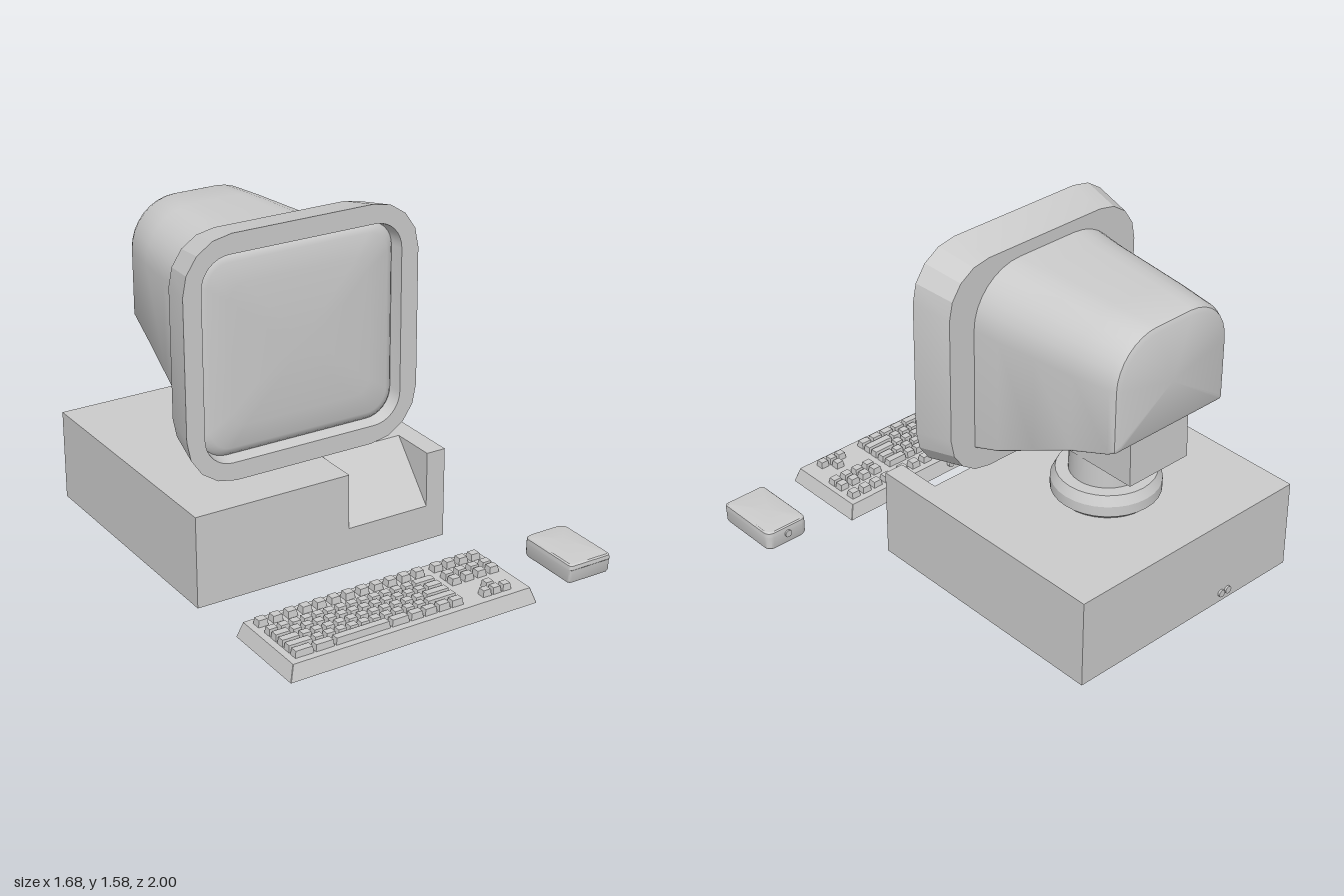
import * as THREE from 'three';
import { toCreasedNormals } from 'three/addons/utils/BufferGeometryUtils.js';

const grey = new THREE.MeshStandardMaterial({ color: 0xcccccc });
const greyBoth = new THREE.MeshStandardMaterial({ color: 0xcccccc, side: THREE.DoubleSide });

function add(parent, name, geometry, x = 0, y = 0, z = 0, material = grey) {
  const mesh = new THREE.Mesh(geometry, material);
  mesh.name = name;
  mesh.position.set(x, y, z);
  parent.add(mesh);
  return mesh;
}

// Rounded rectangle loop, counter-clockwise seen from +z
function ring(x0, x1, y0, y1, z, rTop, rBottom = rTop, seg = 4) {
  const points = [];
  const corners = [
    [x1 - rTop, y1 - rTop, rTop], [x0 + rTop, y1 - rTop, rTop],
    [x0 + rBottom, y0 + rBottom, rBottom], [x1 - rBottom, y0 + rBottom, rBottom],
  ];
  corners.forEach(([cx, cy, r], c) => {
    for (let i = 0; i <= seg; i++) {
      const a = (c + i / seg) * Math.PI / 2;
      points.push(new THREE.Vector3(cx + r * Math.cos(a), cy + r * Math.sin(a), z));
    }
  });
  return points;
}

// Skin over a row of equal-length loops, with optional end caps
function loft(rings, capStart, capEnd, crease) {
  const n = rings[0].length, points = rings.flat(), index = [];
  for (let k = 0; k < rings.length - 1; k++) {
    for (let j = 0; j < n; j++) {
      const a = k * n + j, b = k * n + (j + 1) % n;
      index.push(a, b, b + n, a, b + n, a + n);
    }
  }
  const cap = (k, flip) => {
    const centre = new THREE.Vector3();
    rings[k].forEach((p) => centre.addScaledVector(p, 1 / n));
    const c = points.push(centre) - 1;
    for (let j = 0; j < n; j++) {
      const a = k * n + j, b = k * n + (j + 1) % n;
      index.push(c, flip ? b : a, flip ? a : b);
    }
  };
  if (capStart) cap(0, true);
  if (capEnd) cap(rings.length - 1, false);
  const geometry = new THREE.BufferGeometry().setFromPoints(points);
  geometry.setIndex(index);
  return toCreasedNormals(geometry, crease);
}

// Side profile of [z, y] points, extruded from x0 to x1
function slab(x0, x1, profile) {
  const shape = new THREE.Shape(profile.map(([z, y]) => new THREE.Vector2(-z, y)));
  return new THREE.ExtrudeGeometry(shape, { depth: x1 - x0, bevelEnabled: false })
    .rotateY(Math.PI / 2).translate(x0, 0, 0);
}

function plug(parent, name, x, y, z, r, length) {
  add(parent, name, new THREE.CylinderGeometry(r, r, length, 12).rotateX(Math.PI / 2), x, y, z);
}

function makeCase() {
  const group = new THREE.Group();
  group.name = 'computerCase';
  const back = -0.99, front = 0.275, top = 0.43;
  const block = [[back, 0], [front, 0], [front, top], [back, top]];
  const notched = [[back, 0], [front, 0], [front, 0.17], [0.05, top], [back, top]];
  add(group, 'caseRightBlock', slab(-0.84, -0.08, block));
  add(group, 'caseSlopedNotch', slab(-0.08, 0.33, notched));
  add(group, 'caseLeftBlock', slab(0.33, 0.425, block));
  for (const x of [-0.463, -0.422]) plug(group, 'casePort', x, 0.045, -0.99, 0.018, 0.02);
  return group;
}

function makeMonitor() {
  const group = new THREE.Group();
  group.name = 'monitor';
  const cx = -0.208;

  // Swivel foot, post and block under the housing
  const foot = [[0, 0.43], [0.22, 0.43], [0.247, 0.455], [0.247, 0.505], [0.225, 0.55], [0.168, 0.55]]
    .map(([r, y]) => new THREE.Vector2(r, y));
  add(group, 'swivelFoot', toCreasedNormals(new THREE.LatheGeometry(foot, 32), 0.4), -0.215, 0, -0.468);
  add(group, 'swivelPost', new THREE.CylinderGeometry(0.168, 0.168, 0.16, 32), -0.215, 0.62, -0.468);
  add(group, 'neckBlock', slab(-0.39, -0.045, [[-0.775, 0.68], [-0.21, 0.68], [-0.45, 0.84], [-0.765, 0.97]]));

  // Tapered rear housing: z, half width, bottom, top, top corner radius
  const sections = [
    [-0.825, 0.295, 0.95, 1.425, 0.2], [-0.815, 0.318, 0.93, 1.447, 0.22], [-0.785, 0.333, 0.917, 1.458, 0.23],
    [-0.6, 0.36, 0.855, 1.466, 0.24], [-0.4, 0.382, 0.765, 1.473, 0.25],
    [-0.2, 0.402, 0.67, 1.481, 0.26], [-0.06, 0.42, 0.628, 1.487, 0.26],
  ];
  add(group, 'rearHousing', loft(sections.map(([z, w, y0, y1, r]) =>
    ring(-0.22 - w, -0.22 + w, y0, y1, z, r, 0.012, 8)), true, false, 0.6));

  // Bezel: flared rim, then a front face with a rounded opening
  const outer = ring(-0.787, 0.371, 0.465, 1.58, 0.12, 0.235);
  add(group, 'bezelRim', loft([ring(-0.75, 0.334, 0.505, 1.545, -0.07, 0.22), outer], true, false, 0.3));
  const opening = (inset, z, r) =>
    ring(-0.7 + inset, 0.285 - inset, 0.55 + inset, 1.49 - inset, z, r, r, 8);
  const face = new THREE.Shape(outer.map((p) => new THREE.Vector2(p.x, p.y)));
  face.holes.push(new THREE.Path(opening(0, 0.12, 0.135).map((p) => new THREE.Vector2(p.x, p.y))));
  add(group, 'bezelFace', new THREE.ShapeGeometry(face), 0, 0, 0.12);

  // Recess wall and bulging screen
  add(group, 'bezelRecess', loft([opening(0, 0.12, 0.135), opening(0.012, 0.055, 0.125)], false, false, 0.6));
  const screen = [opening(0.01, 0.055, 0.125), opening(0.025, 0.072, 0.115), opening(0.05, 0.082, 0.1)];
  for (const t of [0.15, 0.22, 0.3, 0.38]) {
    screen.push(opening(t, 0.082 + 0.022 * (1 - ((0.45 - t) / 0.4) ** 2), 0.08 - t * 0.1));
  }
  add(group, 'screen', loft(screen, false, true, 0.8));
  group.userData.centreX = cx;
  return group;
}

function makeKeyboard() {
  const group = new THREE.Group();
  group.name = 'keyboard';

  // Hollow tray, open underneath
  const tray = [
    ring(-0.82, 0.403, -1, -0.565, 0, 0.002, 0.002, 1),
    ring(-0.797, 0.38, -0.98, -0.583, 0.07, 0.002, 0.002, 1),
  ];
  add(group, 'keyboardTray', loft(tray, false, true, 0.3).rotateX(-Math.PI / 2), 0, 0, 0, greyBoth);
  plug(group, 'keyboardPort', -0.208, 0.04, 0.572, 0.018, 0.03);

  // Tapered key caps
  const key = (x, z, w, d = 0.043) => {
    const geometry = new THREE.BoxGeometry(w, 0.04, d);
    const p = geometry.attributes.position;
    for (let i = 0; i < p.count; i++) {
      if (p.getY(i) > 0) p.setXYZ(i, p.getX(i) - Math.sign(p.getX(i)) * 0.005, 0.02, p.getZ(i) * 0.78);
    }
    geometry.computeVertexNormals();
    add(group, 'key', geometry, x, 0.08, z);
  };
  const ones = (n) => Array(n).fill(1);
  const rows = [
    [...ones(13), 2], [1.5, ...ones(12), 1.5], [1.75, ...ones(11), 2.25],
    [2.25, ...ones(10), 2.75], [1.75, 1.75, 4.9, 1.7, 1.25, 1.25, 1.2, 1.2],
  ];
  const unit = 0.0555, zRows = [0.722, 0.773, 0.824, 0.875, 0.926];
  rows.forEach((row, r) => {
    let x = -0.77;
    for (const w of row) {
      key(x + w * unit / 2, zRows[r], w * unit - 0.007);
      x += w * unit;
    }
  });
  for (let i = 0; i < 12; i++) key(-0.743 + i * 0.0708, 0.637, 0.05, 0.047);
  for (let i = 0; i < 4; i++) {
    for (const z of [0.637, 0.722, 0.773]) key(0.133 + i * 0.0655, z, 0.05, 0.045);
  }
  for (const i of [-1, 0, 1]) key(0.233 + i * 0.051, 0.926, 0.045);
  key(0.233, 0.875, 0.045);
  return group;
}

function makeMouse() {
  const group = new THREE.Group();
  group.name = 'mouse';
  // Loops stacked upward; the back corners are rounder than the front ones
  const layer = (inset, y, lip = 0) =>
    ring(0.614 + inset, 0.836 - inset, -0.96 + inset + lip, -0.625 - inset, y, 0.032, 0.014);
  const layers = [layer(0.004, 0.005, 0.008), layer(0, 0.015, 0.008), layer(0, 0.068, 0.004),
    layer(0, 0.072), layer(0.002, 0.09), layer(0.008, 0.096)];
  const geometry = loft(layers, true, true, 0.6).rotateX(-Math.PI / 2);
  // Raise the middle of the lid into a low crown
  const p = geometry.attributes.position;
  for (let i = 0; i < p.count; i++) {
    const middle = Math.hypot(p.getX(i) - 0.725, p.getZ(i) - 0.792) < 0.03;
    if (middle && p.getY(i) > 0.09) p.setXYZ(i, 0.725, 0.112, 0.76);
  }
  add(group, 'mouseBody', toCreasedNormals(geometry, 0.5));
  plug(group, 'mousePort', 0.725, 0.055, 0.625, 0.018, 0.016);
  return group;
}

export function createModel() {
  const model = new THREE.Group();
  model.name = 'desktopComputer';
  model.add(makeCase(), makeMonitor(), makeKeyboard(), makeMouse());
  return model;
}
